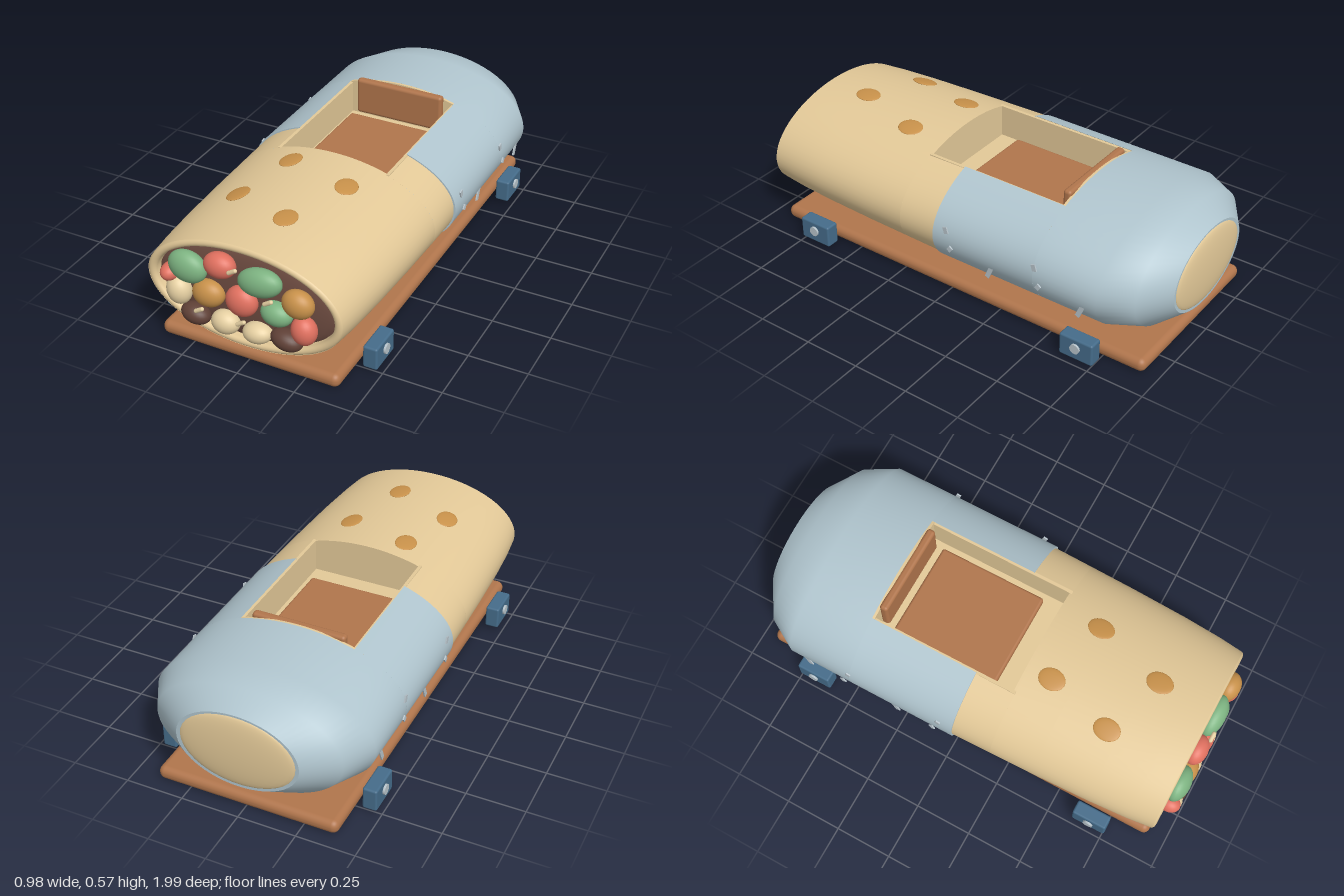
import * as THREE from 'three';
import { mergeVertices } from 'three/addons/utils/BufferGeometryUtils.js';
import { RoundedBoxGeometry } from 'three/addons/geometries/RoundedBoxGeometry.js';

const CY = 0.314; // height of the body axis
const mat = (color, side = THREE.FrontSide) => {
  const m = new THREE.MeshStandardMaterial({ side });
  m.color.set(color);
  return m;
};
const M = {
  wrap: mat(0xe3c998, THREE.DoubleSide), foil: mat(0xb0c5ce, THREE.DoubleSide),
  wood: mat(0xb0754c), blue: mat(0x456c8a), metal: mat(0xb8c4cb), filling: mat(0x6e4c41),
  green: mat(0x7db381), red: mat(0xe0705f), orange: mat(0xc8914a), cream: mat(0xe6d0a2), bean: mat(0x5f4036),
};

// Skin through elliptical sections [z, rx, ry]; halfGap leaves a slot of that half width on top
function loft(sections, halfGap = 0, segs = 64) {
  const pos = [], idx = [], row = segs + 1;
  sections.forEach(([z, rx, ry], i) => {
    const a = halfGap ? Math.asin(halfGap / rx) : 0;
    for (let j = 0; j <= segs; j++) {
      const t = a + (2 * Math.PI - 2 * a) * (j / segs);
      pos.push(rx * Math.sin(t), CY + ry * Math.cos(t), z);
      if (i && j) {
        const d = i * row + j, c = d - 1, b = d - row, e = b - 1;
        idx.push(e, b, c, b, d, c);
      }
    }
  });
  let g = new THREE.BufferGeometry();
  g.setAttribute('position', new THREE.Float32BufferAttribute(pos, 3));
  g.setIndex(idx);
  g = mergeVertices(g, 1e-4);
  g.computeVertexNormals();
  return g;
}

export function createModel() {
  const root = new THREE.Group();
  const add = (name, geo, material, x = 0, y = 0, z = 0) => {
    const m = new THREE.Mesh(geo, material);
    m.name = name;
    m.position.set(x, y, z);
    root.add(m);
    return m;
  };
  const ball = new THREE.SphereGeometry(1, 28, 18);

  // Base board
  add('baseBoard', new RoundedBoxGeometry(0.79, 0.06, 1.86, 4, 0.028), M.wood, 0, 0.031, -0.01);

  // Corner blocks with bolts
  for (const s of [-1, 1]) for (const z of [-0.68, 0.68]) {
    add('wheelBlock', new RoundedBoxGeometry(0.062, 0.1, 0.155, 2, 0.009), M.blue, s * 0.448, 0.06, z);
    add('wheelBolt', new THREE.CylinderGeometry(0.022, 0.022, 0.02, 16), M.metal, s * 0.478, 0.068, z).rotation.z = Math.PI / 2;
  }

  // Wrapped body: closed nose, then slotted around the cockpit
  const gap = 0.25;
  add('frontWrap', loft([[0.93, 0.424, 0.23], [0.82, 0.437, 0.236], [0.65, 0.449, 0.241], [0.4, 0.459, 0.245], [0.2, 0.464, 0.247]]), M.wrap);
  add('cockpitWrap', loft([[0.2, 0.464, 0.247], [0.02, 0.468, 0.249]], gap), M.wrap);

  // Foil half with rounded tail
  add('cockpitFoil', loft([[0.02, 0.476, 0.253], [-0.47, 0.476, 0.253]], gap), M.foil);
  add('rearFoil', loft([[-0.47, 0.476, 0.253], [-0.76, 0.475, 0.253], [-0.89, 0.4, 0.233], [-0.98, 0.262, 0.172]]), M.foil);
  add('foilEdge', loft([[0.02, 0.476, 0.253], [0.02, 0.466, 0.247]], gap), M.foil);
  add('tailDisc', loft([[-0.978, 0.263, 0.173], [-0.978, 0.001, 0.001]]), M.foil);
  add('tailCap', ball, M.wrap, 0, CY, -0.975).scale.set(0.25, 0.163, 0.025);

  // Rolled lip and filling at the nose
  const lip = [];
  for (let k = 0; k <= 10; k++) {
    const t = (k / 10) * Math.PI;
    lip.push([0.922 + 0.016 * Math.sin(t), 0.406 - 0.018 * Math.cos(t), 0.214 - 0.016 * Math.cos(t)]);
  }
  add('noseLip', loft(lip.reverse().concat([[0.93, 0.424, 0.23]]).slice(0, 11)), M.wrap);
  add('noseThroat', loft([[0.922, 0.388, 0.198], [0.86, 0.38, 0.19]]), M.wrap);
  add('filling', ball, M.filling, 0, CY, 0.895).scale.set(0.392, 0.202, 0.04);

  // Filling chunks: x, y, rx, ry, colour, tilt
  for (const [x, y, rx, ry, c, tilt] of [
    [-0.23, 0.395, 0.083, 0.067, 'green', -0.2], [-0.085, 0.445, 0.067, 0.053, 'red', 0],
    [0.087, 0.42, 0.094, 0.06, 'green', 0.15], [0.247, 0.375, 0.066, 0.058, 'orange', -0.2],
    [-0.31, 0.349, 0.038, 0.035, 'red', 0], [-0.275, 0.275, 0.052, 0.062, 'cream', 0.2],
    [-0.141, 0.3, 0.069, 0.058, 'orange', 0.1], [0.005, 0.31, 0.067, 0.065, 'red', 0],
    [0.155, 0.302, 0.066, 0.05, 'green', -0.1], [0.27, 0.262, 0.052, 0.06, 'red', 0.15],
    [-0.205, 0.185, 0.063, 0.041, 'bean', -0.2], [-0.072, 0.188, 0.06, 0.05, 'cream', 0],
    [0.068, 0.184, 0.062, 0.043, 'cream', 0.1], [0.195, 0.195, 0.067, 0.041, 'bean', -0.2],
  ]) {
    const m = add('fillingChunk', ball, M[c], x, y, 0.945);
    m.scale.set(rx, ry, 0.048);
    m.rotation.z = tilt;
  }
  for (const [x, y] of [[-0.012, 0.457], [0.137, 0.364], [-0.17, 0.23], [0.015, 0.23]])
    add('riceGrain', new THREE.CapsuleGeometry(0.009, 0.032, 4, 10), M.cream, x, y, 0.978).rotation.z = -1.02;

  // Toasted spots lying on the wrap
  for (const [x, z] of [[-0.135, 0.305], [0.157, 0.38], [-0.21, 0.595], [0.06, 0.695]]) {
    const rx = 0.464 - 0.03 * (z - 0.2), ry = 0.247 - 0.012 * (z - 0.2);
    const h = ry * Math.sqrt(1 - (x / rx) ** 2);
    const m = add('toastedSpot', ball, M.orange, x, CY + h, z);
    m.scale.set(0.046, 0.007, 0.058);
    m.rotation.z = -Math.atan2(x / rx ** 2, h / ry ** 2);
  }

  // Cockpit tub: end walls arch with the body
  const floorY = 0.38;
  const endWall = (z, rx, ry) => {
    const s = new THREE.Shape();
    s.moveTo(-gap, floorY - 0.01);
    s.lineTo(gap, floorY - 0.01);
    for (let k = 0; k <= 16; k++) {
      const x = gap - (2 * gap * k) / 16;
      s.lineTo(x, CY + ry * Math.sqrt(1 - (x / rx) ** 2));
    }
    add('cockpitEndWall', new THREE.ExtrudeGeometry(s, { depth: 0.012, bevelEnabled: false }), M.wrap, 0, 0, z);
  };
  endWall(0.19, 0.464, 0.246);
  endWall(-0.471, 0.476, 0.252);
  add('cockpitFloor', new THREE.BoxGeometry(0.5, 0.02, 0.67), M.wrap, 0, floorY - 0.01, -0.135);
  for (const s of [-1, 1])
    add('cockpitSideWall', new THREE.BoxGeometry(0.014, 0.155, 0.67), M.wrap, s * 0.248, 0.447, -0.135);

  // Seat pad and backrest
  add('seatPad', new RoundedBoxGeometry(0.43, 0.04, 0.49, 3, 0.012), M.wood, -0.004, 0.387, -0.155);
  add('seatBack', new RoundedBoxGeometry(0.41, 0.165, 0.038, 3, 0.014), M.wood, 0, 0.481, -0.444);

  // Foil crinkles, mirrored on both sides
  for (const s of [-1, 1]) for (const z0 of [0, -0.43])
    for (const [z, y, len, tilt] of [[-0.045, 0.365, 0.03, -0.3], [-0.07, 0.287, 0.024, 0.6], [-0.257, 0.246, 0.062, 0.4]]) {
      const x = 0.476 * Math.sqrt(1 - ((y - CY) / 0.253) ** 2) + 0.006;
      add('foilCrinkle', new THREE.BoxGeometry(0.006, len, 0.02), M.metal, s * x, y, z + z0).rotation.x = -tilt;
    }
  return root;
}
